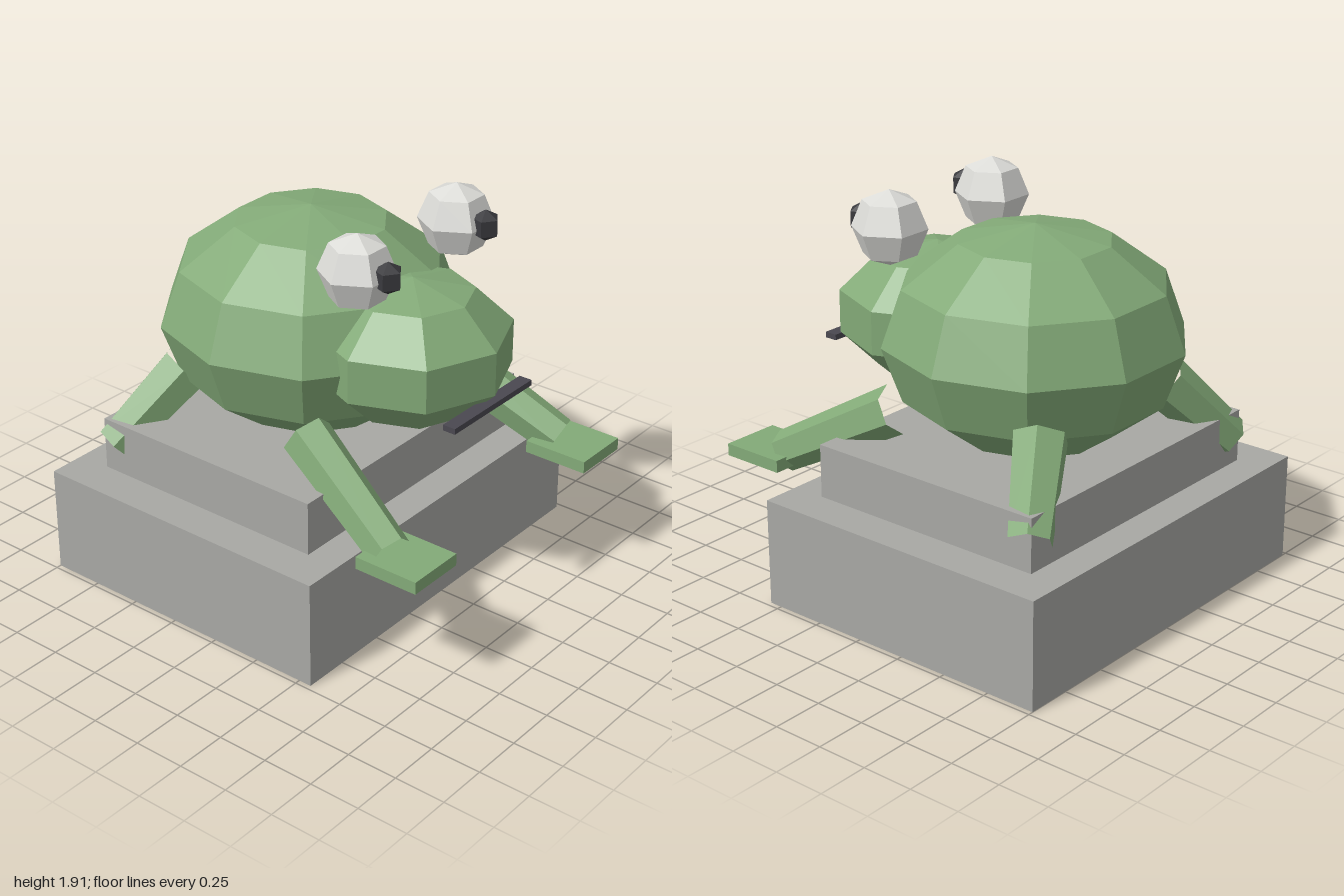
import * as THREE from 'three';

export function createModel() {
  const group = new THREE.Group();
  const mat = (name, color) => {
    const m = new THREE.MeshStandardMaterial({ color, flatShading: true });
    m.name = name;
    return m;
  };
  const green = mat('skin green', 0x83aa78);
  const stone = mat('stone grey', 0xa8a8a4);
  const white = mat('eye white', 0xdcdcd8);
  const dark = mat('mouth dark', 0x4a4850);
  const black = mat('pupil black', 0x3a3a3e);

  const add = (name, geometry, material, x, y, z) => {
    const mesh = new THREE.Mesh(geometry, material);
    mesh.name = name;
    mesh.position.set(x, y, z);
    group.add(mesh);
    return mesh;
  };
  // Box from its minimum and maximum corners
  const box = (name, material, [x0, y0, z0], [x1, y1, z1]) =>
    add(name, new THREE.BoxGeometry(x1 - x0, y1 - y0, z1 - z0), material,
      (x0 + x1) / 2, (y0 + y1) / 2, (z0 + z1) / 2);
  // Open six-sided tapered limb from its upper to its lower end
  const limb = (name, top, bottom, rTop, rBottom) => {
    const a = new THREE.Vector3(...top), b = new THREE.Vector3(...bottom);
    const axis = a.clone().sub(b);
    const mid = a.clone().add(b).multiplyScalar(0.5);
    const mesh = add(name, new THREE.CylinderGeometry(rTop, rBottom, axis.length(), 6, 1, true),
      green, mid.x, mid.y, mid.z);
    mesh.quaternion.setFromUnitVectors(new THREE.Vector3(0, 1, 0), axis.normalize());
  };

  // Stepped plinth
  box('plinth', stone, [-0.975, 0, -1], [0.975, 0.525, 0.565]);
  box('plinthStep', stone, [-0.785, 0.525, -0.835], [0.785, 0.785, 0.4]);

  // Body and head
  add('body', new THREE.SphereGeometry(1, 10, 6), green, 0, 1.24, -0.22).scale.set(0.717, 0.535, 0.717);
  add('head', new THREE.SphereGeometry(1, 8, 5), green, 0, 1.24, 0.365).scale.set(0.488, 0.34, 0.488);
  box('mouth', dark, [-0.293, 1.065, 0.76], [0.293, 1.093, 0.825]);

  for (const s of [1, -1]) {
    const side = s > 0 ? 'left' : 'right';
    // Eyes
    add(side + 'Eye', new THREE.SphereGeometry(0.179, 6, 4), white, s * 0.36, 1.73, 0.335);
    const pupil = add(side + 'Pupil', new THREE.SphereGeometry(0.076, 5, 3), black, s * 0.357, 1.745, 0.5);
    pupil.rotation.y = Math.PI / 2;
    // Legs and front feet
    limb(side + 'FrontLeg', [s * 0.52, 0.935, 0.175], [s * 0.655, 0.615, 0.755], 0.12, 0.1);
    box(side + 'FrontFoot', green,
      [s * 0.65 - 0.147, 0.57, 0.675], [s * 0.65 + 0.147, 0.63, 1]);
    limb(side + 'HindLeg', [s * 0.45, 0.99, -0.615], [s * 0.75, 0.65, -0.8], 0.13, 0.105);
  }
  return group;
}
